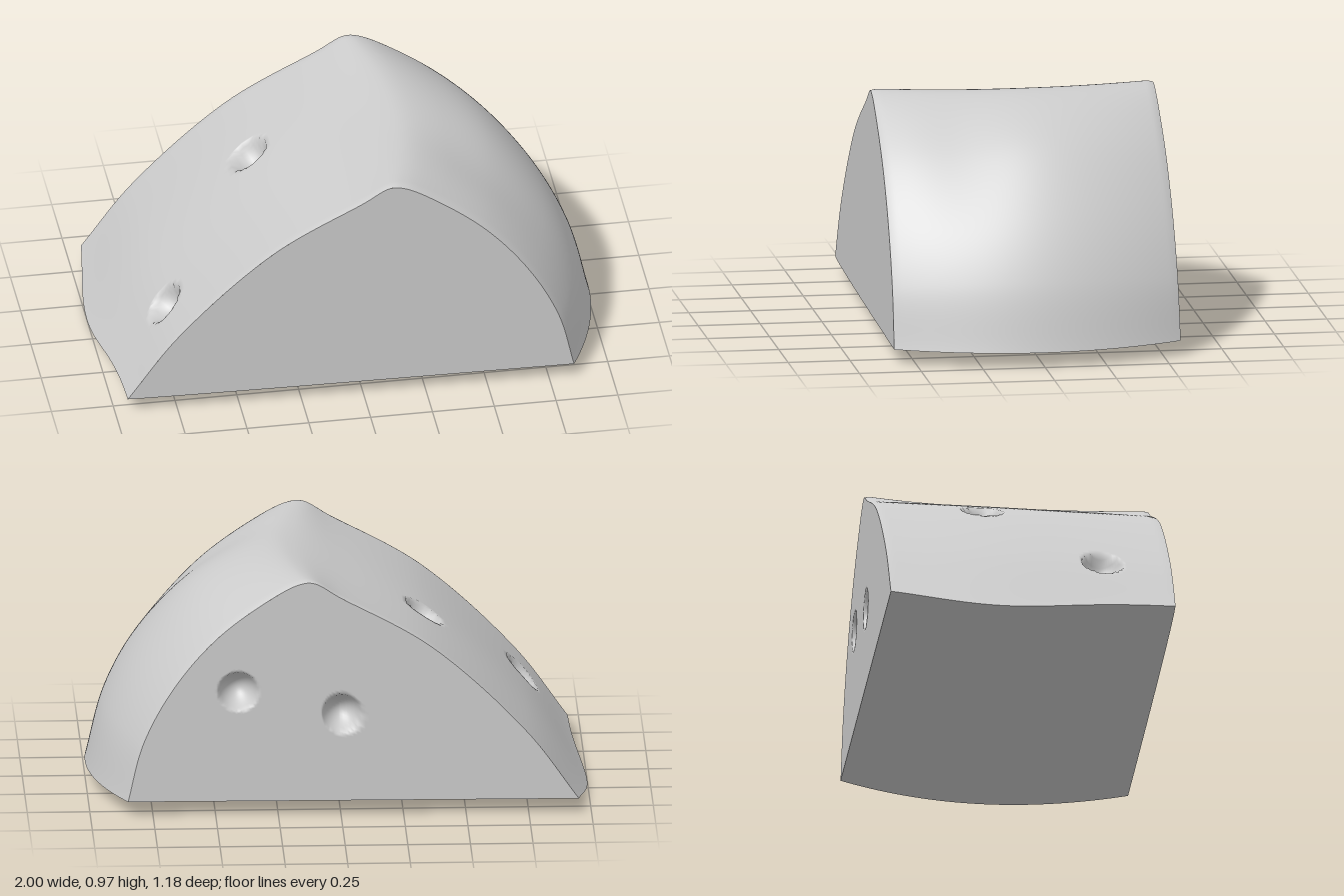
import * as THREE from 'three';
import { ParametricGeometry } from 'three/addons/geometries/ParametricGeometry.js';

const curve = pts => new THREE.CatmullRomCurve3(pts.map(([x, y]) => new THREE.Vector3(x, y, 0)));

// Wedge outline at the two cut ends and at the bulging middle
const endProfile = curve([[-0.95, 0.06], [-0.74, 0.345], [-0.36, 0.70], [0, 0.905], [0.11, 0.968], [0.17, 0.962],
  [0.3, 0.89], [0.5, 0.735], [0.67, 0.53], [0.79, 0.3], [0.85, 0.06]]);
const midProfile = curve([[-1, 0], [-0.75, 0.35], [-0.36, 0.71], [0, 0.9], [0.17, 0.965], [0.26, 0.973],
  [0.42, 0.925], [0.6, 0.815], [0.8, 0.58], [0.93, 0.33], [1, 0.06]]);

// Round dents: centre, inward direction, radius, depth
const dent = (x, y, z, dx, dy, dz, radius, depth) => ({
  c: new THREE.Vector3(x, y, z), d: new THREE.Vector3(dx, dy, dz).normalize(), radius, depth });
const slopeDents = [
  dent(-0.345, 0.71, -0.15, 0.55, -0.8, 0, 0.083, 0.085),
  dent(-0.77, 0.33, 0.285, 0.8, -0.6, -0.1, 0.085, 0.08)];
const backDents = [
  dent(0.41, 0.515, -0.57, 0, 0, 1, 0.08, 0.085),
  dent(-0.005, 0.42, -0.575, 0, 0, 1, 0.08, 0.085)];

function applyDents(p, dents) {
  for (const { c, d, radius, depth } of dents) {
    const off = p.clone().sub(c);
    off.addScaledVector(d, -off.dot(d));
    const r = off.length() / radius;
    if (r < 1) p.addScaledVector(d, depth * Math.pow(1 - r * r, 0.9));
  }
}

// Depth of the cut faces, slightly skewed and leaning inward
function depthAt(x, y, v) {
  const k = THREE.MathUtils.clamp((x + 0.95) / 1.8, 0, 1);
  const front = 0.553 + 0.034 * Math.pow(k, 0.7) - 0.004 * y;
  const back = -0.592 + 0.022 * k + 0.012 * y;
  return THREE.MathUtils.lerp(back, front, (v + 1) / 2);
}

// Outer skin: u runs over the top from left to right, v from back (-1) to front (1)
function skin(u, v) {
  const side = THREE.MathUtils.smoothstep(u, 0.1, 0.5);
  const tip = Math.exp(-(((v + 0.22) / 0.62) ** 2)) * (1 - v ** 6);
  const bulge = THREE.MathUtils.lerp(tip, 1 - v * v, side);
  const p = endProfile.getPoint(u).lerp(midProfile.getPoint(u), bulge);
  p.z = depthAt(p.x, p.y, v);
  // shallow hollow in the shoulder of the rind
  const hollow = 0.03 * Math.exp(-(((p.x - 0.55) / 0.25) ** 2) - ((p.z - 0.25) / 0.2) ** 2) * side;
  p.x -= 0.6 * hollow;
  p.y -= 0.8 * hollow * Math.min(1, 5 * (1 - u));
  // soft rounding towards the cut edges
  const edge = Math.max(0, (Math.abs(v) - 0.94) / 0.06);
  const inset = 0.007 * edge * edge * Math.sin(Math.PI * u);
  p.x -= inset * (p.x - 0.05);
  p.y -= inset * p.y;
  return p;
}

function cutFace(u, t, v, dents) {
  const top = skin(u, v);
  const y = THREE.MathUtils.lerp(0.06, top.y, t);
  const p = new THREE.Vector3(top.x, y, depthAt(top.x, y, v));
  applyDents(p, dents);
  return p;
}

export function createModel() {
  const group = new THREE.Group();
  group.name = 'cheeseWedge';
  const material = new THREE.MeshStandardMaterial({ color: 0xcccccc });

  const addSurface = (name, fn, nu, nv) => {
    const geometry = new ParametricGeometry((u, v, target) => target.copy(fn(u, v)), nu, nv);
    geometry.computeVertexNormals();
    const mesh = new THREE.Mesh(geometry, material);
    mesh.name = name;
    group.add(mesh);
  };

  // Slope and curved rind in one smooth skin
  addSurface('slopeAndRind', (a, b) => {
    const p = skin(b, a * 2 - 1);
    applyDents(p, slopeDents);
    return p;
  }, 140, 220);

  // Flat cut faces, the back one with holes
  addSurface('frontFace', (u, t) => cutFace(u, t, 1, []), 220, 12);
  addSurface('backFace', (u, t) => cutFace(1 - u, t, -1, backDents), 220, 80);

  // Underside, dropping to the lowest point at the left edge
  addSurface('underside', (t, b) => {
    const v = b * 2 - 1;
    const left = skin(0, v), right = skin(1, v);
    const x = THREE.MathUtils.lerp(left.x, right.x, t);
    const y = THREE.MathUtils.lerp(left.y, right.y, Math.min(1, t * 2));
    return new THREE.Vector3(x, y, depthAt(x, y, v));
  }, 20, 140);

  return group;
}
